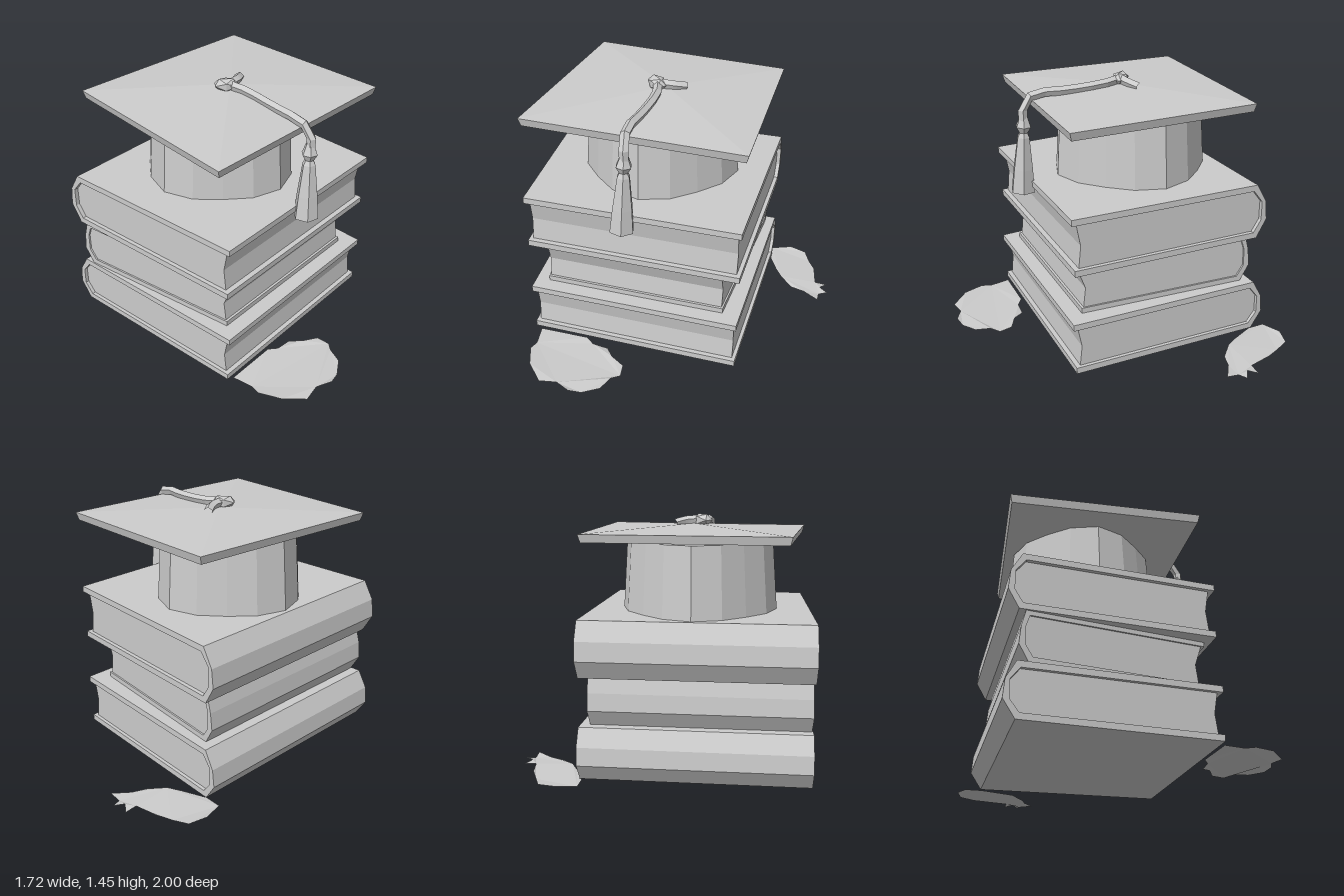
import * as THREE from 'three';

const mat = new THREE.MeshStandardMaterial({ color: 0xcccccc, flatShading: true });
const thinMat = new THREE.MeshStandardMaterial({ color: 0xcccccc, flatShading: true, side: THREE.DoubleSide });

function mesh(name, geometry, parent, material = mat) {
  const m = new THREE.Mesh(geometry, material);
  m.name = name;
  parent.add(m);
  return m;
}

// Move every vertex by a rule that edits the vector it is given
function reshape(geometry, rule) {
  const p = geometry.attributes.position;
  const v = new THREE.Vector3();
  for (let i = 0; i < p.count; i++) {
    rule(v.fromBufferAttribute(p, i), i);
    p.setXYZ(i, v.x, v.y, v.z);
  }
  geometry.computeVertexNormals();
  return geometry;
}

const shapeOf = (pts) => new THREE.Shape(pts.map(([x, y]) => new THREE.Vector2(x, y)));

// Extrude a cross-section along the spine; the two ends may slant between spine and fore edge
function prism(pts, spineEnds, foreEnds, inset) {
  const geo = new THREE.ExtrudeGeometry(shapeOf(pts), { depth: 1, bevelEnabled: false });
  return reshape(geo, (v) => {
    const k = (v.x + 0.5) / 1.1;
    const end = v.z > 0.5 ? 1 : 0;
    v.z = THREE.MathUtils.lerp(spineEnds[end], foreEnds[end], k) + (end ? -inset : inset);
  });
}

// A closed book: wrap-around cover with a bulging spine, and hollowed page block
function book(name, { y0, y1, foreBottom, foreTop, spineBottom, spineMid, spineTop, spineEnds, foreEnds, inset }) {
  const g = new THREE.Group();
  g.name = name;
  const t = 0.035, h = y1 - y0;
  const a = y0 + h * 0.33, b = y0 + h * 0.67;
  mesh('cover', prism([
    [spineBottom, y0], [foreBottom, y0], [foreBottom, y0 + t], [spineBottom + 0.02, y0 + t],
    [spineMid + t, a], [spineMid + t, b],
    [spineTop + 0.02, y1 - t], [foreTop, y1 - t], [foreTop, y1],
    [spineTop, y1], [spineMid + 0.01, b], [spineMid, a],
  ], spineEnds, foreEnds, 0), g);
  mesh('pages', prism([
    [spineBottom + 0.02, y0 + 0.02], [foreBottom - inset, y0 + 0.02],
    [Math.min(foreBottom, foreTop) - inset - 0.015, (y0 + y1) / 2],
    [foreTop - inset, y1 - 0.02], [spineTop + 0.02, y1 - 0.02],
    [spineMid + 0.02, b], [spineMid + 0.02, a],
  ], spineEnds, foreEnds, inset * 0.8), g);
  return g;
}

function tube(name, pts, radius, parent) {
  const curve = new THREE.CatmullRomCurve3(pts.map((p) => new THREE.Vector3(...p)));
  return mesh(name, new THREE.TubeGeometry(curve, 8, radius, 5), parent);
}

export function createModel() {
  const root = new THREE.Group();
  root.name = 'graduationCapOnBooks';

  // Stack of three books, turned a corner to the front
  const stack = new THREE.Group();
  stack.name = 'bookStack';
  stack.rotation.y = -Math.PI / 4;
  stack.add(
    book('bottomBook', { y0: 0.008, y1: 0.31, foreBottom: 0.605, foreTop: 0.615, spineBottom: -0.48,
      spineMid: -0.545, spineTop: -0.48, spineEnds: [-0.625, 0.67], foreEnds: [-0.6, 0.595], inset: 0.025 }),
    book('middleBook', { y0: 0.305, y1: 0.6, foreBottom: 0.53, foreTop: 0.56, spineBottom: -0.42,
      spineMid: -0.475, spineTop: -0.44, spineEnds: [-0.575, 0.67], foreEnds: [-0.5, 0.51], inset: 0.012 }),
    book('topBook', { y0: 0.59, y1: 0.91, foreBottom: 0.6, foreTop: 0.61, spineBottom: -0.48,
      spineMid: -0.54, spineTop: -0.47, spineEnds: [-0.62, 0.675], foreEnds: [-0.6, 0.595], inset: 0.028 }),
  );
  root.add(stack);

  // Cap crown, a little squared towards the diagonals
  const crown = reshape(new THREE.CylinderGeometry(0.38, 0.405, 0.41, 16), (v) => {
    const swell = 1 + 0.11 * Math.sin(2 * Math.atan2(v.x, v.z)) ** 2;
    v.x *= swell;
    v.z *= swell;
  });
  mesh('capCrown', crown, root).position.y = 1.105;

  // Square board, slightly raised in the middle and a little askew
  const board = reshape(new THREE.CylinderGeometry(1, 0.98, 0.045, 4), (v) => {
    const { x, y, z } = v;
    const middle = Math.hypot(x, z) < 0.01;
    const lift = middle ? (y > 0 ? 0.035 : -0.025) : 0;
    v.set(
      x * 0.805 + 0.055 - 0.06 * z - 0.035 * Math.max(0, z),
      y + lift + 0.01 * Math.max(0, -x) - 0.006 * z,
      z * 0.78 + 0.04 * Math.abs(z),
    );
  });
  mesh('capBoard', board, root).position.y = 1.338;

  // Button with a loose cord end
  const button = mesh('button', new THREE.IcosahedronGeometry(0.06, 0), root);
  button.scale.set(1.2, 0.65, 0.8);
  button.position.set(0.03, 1.415, 0.045);
  tube('cordEnd', [[0.04, 1.415, 0.04], [0.09, 1.41, -0.02], [0.11, 1.395, -0.09]], 0.027, root);

  // Cord running over the board edge
  tube('cord', [[0.05, 1.415, 0.05], [0.13, 1.405, 0.1], [0.27, 1.39, 0.26], [0.38, 1.385, 0.4],
    [0.435, 1.35, 0.445], [0.445, 1.22, 0.45]], 0.026, root);

  // Hanging tassel with its knot
  const profile = [[0, 0], [0.07, 0.005], [0.058, 0.14], [0.036, 0.32], [0.024, 0.345],
    [0.044, 0.38], [0.036, 0.4], [0.018, 0.45], [0, 0.46]];
  const tassel = mesh('tassel', new THREE.LatheGeometry(profile.map((q) => new THREE.Vector2(...q)), 6), root);
  tassel.position.set(0.44, 0.838, 0.475);
  tassel.rotation.x = -0.06;

  // Flat ragged patches on the floor beside the books
  const patches = {
    frontGroundPatch: [[0.04, 0.83], [0.25, 0.63], [0.31, 0.62], [0.38, 0.56], [0.46, 0.57], [0.55, 0.545],
      [0.61, 0.59], [0.61, 0.65], [0.645, 0.73], [0.62, 0.83], [0.58, 0.89], [0.49, 0.92],
      [0.43, 1], [0.29, 1], [0.17, 0.95], [0.14, 0.9]],
    backGroundPatch: [[0.03, -0.84], [0.09, -0.95], [0.18, -1], [0.27, -0.965], [0.36, -0.935], [0.47, -0.86],
      [0.52, -0.91], [0.53, -0.85], [0.59, -0.86], [0.57, -0.81], [0.62, -0.76], [0.51, -0.74],
      [0.43, -0.7], [0.32, -0.7], [0.24, -0.72], [0.1, -0.77]],
  };
  for (const [name, pts] of Object.entries(patches)) {
    const geo = new THREE.ShapeGeometry(shapeOf(pts)).rotateX(Math.PI / 2);
    mesh(name, reshape(geo, (v, i) => { v.y = (i % 3) * 0.005; }), root, thinMat);
  }
  return root;
}
